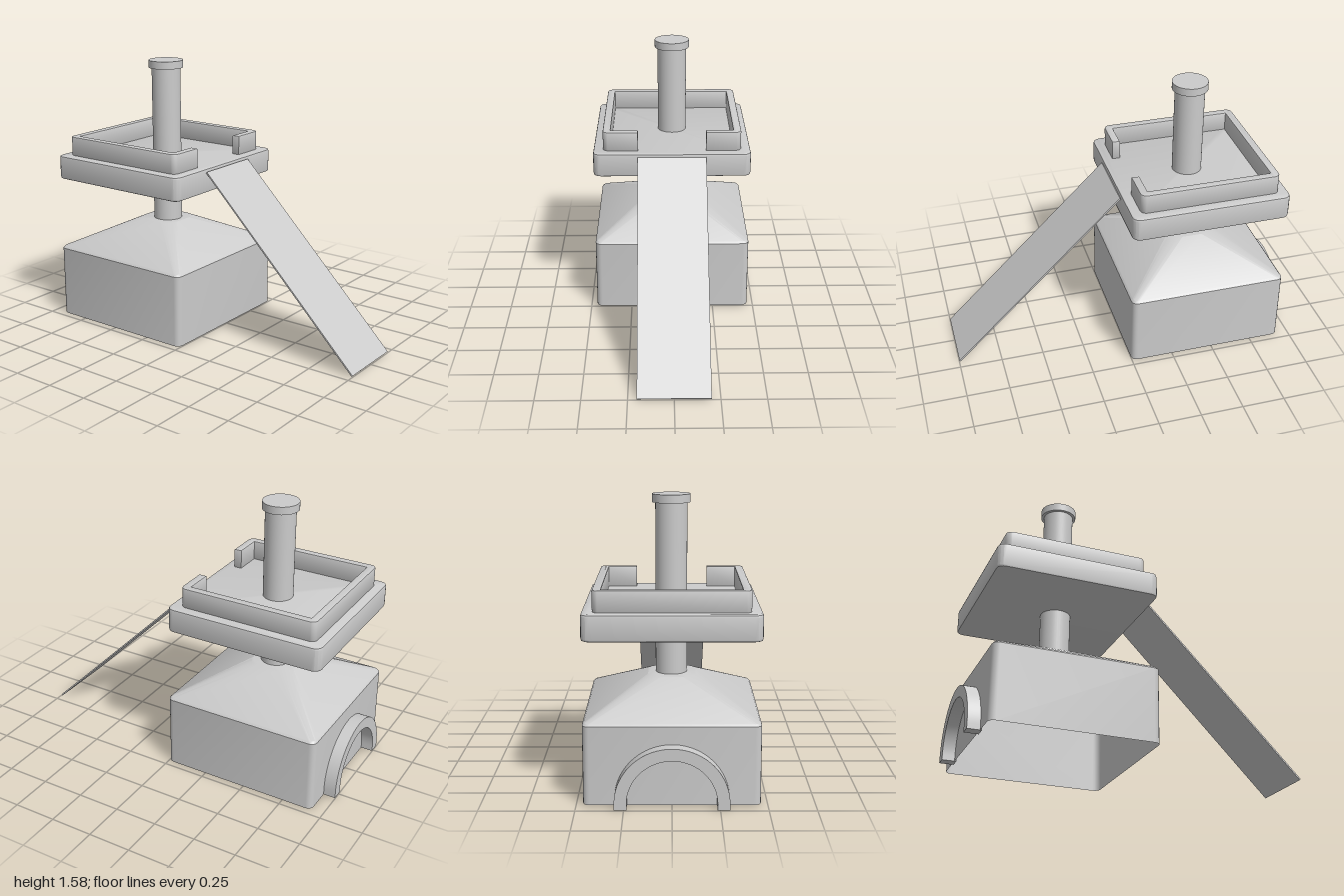
import * as THREE from 'three';
import { toCreasedNormals } from 'three/addons/utils/BufferGeometryUtils.js';

const CX = -0.465; // axis of the tower

// Points of a rounded square, counter-clockwise seen from above
function squareLoop(half, radius, y, steps = 4) {
  const pts = [];
  const c = half - radius;
  for (let k = 0; k < 4; k++) {
    const mid = Math.PI / 4 + k * Math.PI / 2;
    for (let i = 0; i <= steps; i++) {
      const a = k * Math.PI / 2 + (i / steps) * Math.PI / 2;
      pts.push([
        Math.sign(Math.cos(mid)) * c + radius * Math.cos(a),
        y,
        -Math.sign(Math.sin(mid)) * c - radius * Math.sin(a),
      ]);
    }
  }
  return pts;
}

// Skin stacked rounded squares [half, radius, y], listed bottom to top
function loft(sections, capBottom, capTop) {
  const loops = sections.map(([h, r, y]) => squareLoop(h, r, y));
  const n = loops[0].length;
  const pos = loops.flat(2);
  const idx = [];
  for (let s = 0; s < loops.length - 1; s++) {
    for (let i = 0; i < n; i++) {
      const j = (i + 1) % n;
      const a = s * n + i, b = s * n + j, c = a + n, d = b + n;
      idx.push(a, b, d, a, d, c);
    }
  }
  const top = (loops.length - 1) * n;
  for (let i = 1; i < n - 1; i++) {
    if (capBottom) idx.push(0, i + 1, i);
    if (capTop) idx.push(top, top + i, top + i + 1);
  }
  const g = new THREE.BufferGeometry();
  g.setAttribute('position', new THREE.Float32BufferAttribute(pos, 3));
  g.setIndex(idx);
  return toCreasedNormals(g, 0.45);
}

export function createModel() {
  const group = new THREE.Group();
  const grey = new THREE.MeshStandardMaterial({ color: 0xcccccc });
  const greyDouble = new THREE.MeshStandardMaterial({ color: 0xcccccc, side: THREE.DoubleSide });
  const add = (name, geometry, x, y, z, material = grey) => {
    const mesh = new THREE.Mesh(geometry, material);
    mesh.name = name;
    mesh.position.set(x, y, z);
    group.add(mesh);
    return mesh;
  };

  // Hollow base, open below, with a pyramid roof
  add('base', loft([
    [0.465, 0.035, 0],
    [0.465, 0.035, 0.425],
    [0.455, 0.03, 0.437],
    [0.13, 0.07, 0.6],
  ], false, true), CX, 0, 0, greyDouble);

  // Arched door frame on the base
  const arch = new THREE.Shape();
  arch.moveTo(0.3, 0);
  arch.lineTo(0.3, 0.03);
  arch.absarc(0, 0.03, 0.3, 0, Math.PI, false);
  arch.lineTo(-0.3, 0);
  arch.lineTo(-0.235, 0);
  arch.lineTo(-0.235, 0.03);
  arch.absarc(0, 0.03, 0.235, Math.PI, 0, true);
  arch.lineTo(0.235, 0);
  const archGeo = new THREE.ExtrudeGeometry(arch, { depth: 0.08, bevelEnabled: false, curveSegments: 24 });
  archGeo.rotateY(-Math.PI / 2);
  add('doorArch', toCreasedNormals(archGeo, 0.5), -0.92, 0, 0);

  // Post and its cap
  const postBottom = 0.37, postTop = 1.54;
  add('post', new THREE.CylinderGeometry(0.086, 0.086, postTop - postBottom, 40),
    -0.455, (postTop + postBottom) / 2, -0.003);
  add('postCap', new THREE.CylinderGeometry(0.103, 0.103, 0.045, 40), -0.455, 1.5525, -0.003);

  // Platform with softened edges
  add('platform', loft([
    [0.453, 0.035, 0.868],
    [0.462, 0.042, 0.872],
    [0.465, 0.045, 0.882],
    [0.465, 0.045, 0.996],
    [0.462, 0.042, 1.006],
    [0.453, 0.035, 1.01],
  ], true, true), CX, 0, 0);

  // Parapet: a C-shaped wall, open towards the ramp
  const out = 0.402, inn = 0.368, r = 0.03, gap = 0.207, b = 0.006;
  const wall = new THREE.Shape();
  wall.moveTo(out, gap);
  wall.lineTo(out, out - r);
  wall.absarc(out - r, out - r, r, 0, Math.PI / 2, false);
  wall.absarc(-out + r, out - r, r, Math.PI / 2, Math.PI, false);
  wall.absarc(-out + r, -out + r, r, Math.PI, Math.PI * 1.5, false);
  wall.absarc(out - r, -out + r, r, Math.PI * 1.5, Math.PI * 2, false);
  wall.lineTo(out, -gap);
  for (const [x, y] of [[inn, -gap], [inn, -inn], [-inn, -inn], [-inn, inn], [inn, inn], [inn, gap]]) {
    wall.lineTo(x, y);
  }
  const wallGeo = new THREE.ExtrudeGeometry(wall, {
    depth: 0.115 - b, bevelEnabled: true, bevelThickness: b, bevelSize: b, bevelSegments: 2, curveSegments: 4,
  });
  wallGeo.rotateX(-Math.PI / 2);
  add('parapet', toCreasedNormals(wallGeo, 0.5), CX - 0.002, 1.009, 0);

  // Sloping ramp
  const ramp = add('ramp', new THREE.BoxGeometry(1.402, 0.009, 0.402), 0.5, 0.495, 0);
  ramp.rotation.z = -Math.PI / 4;

  return group;
}
